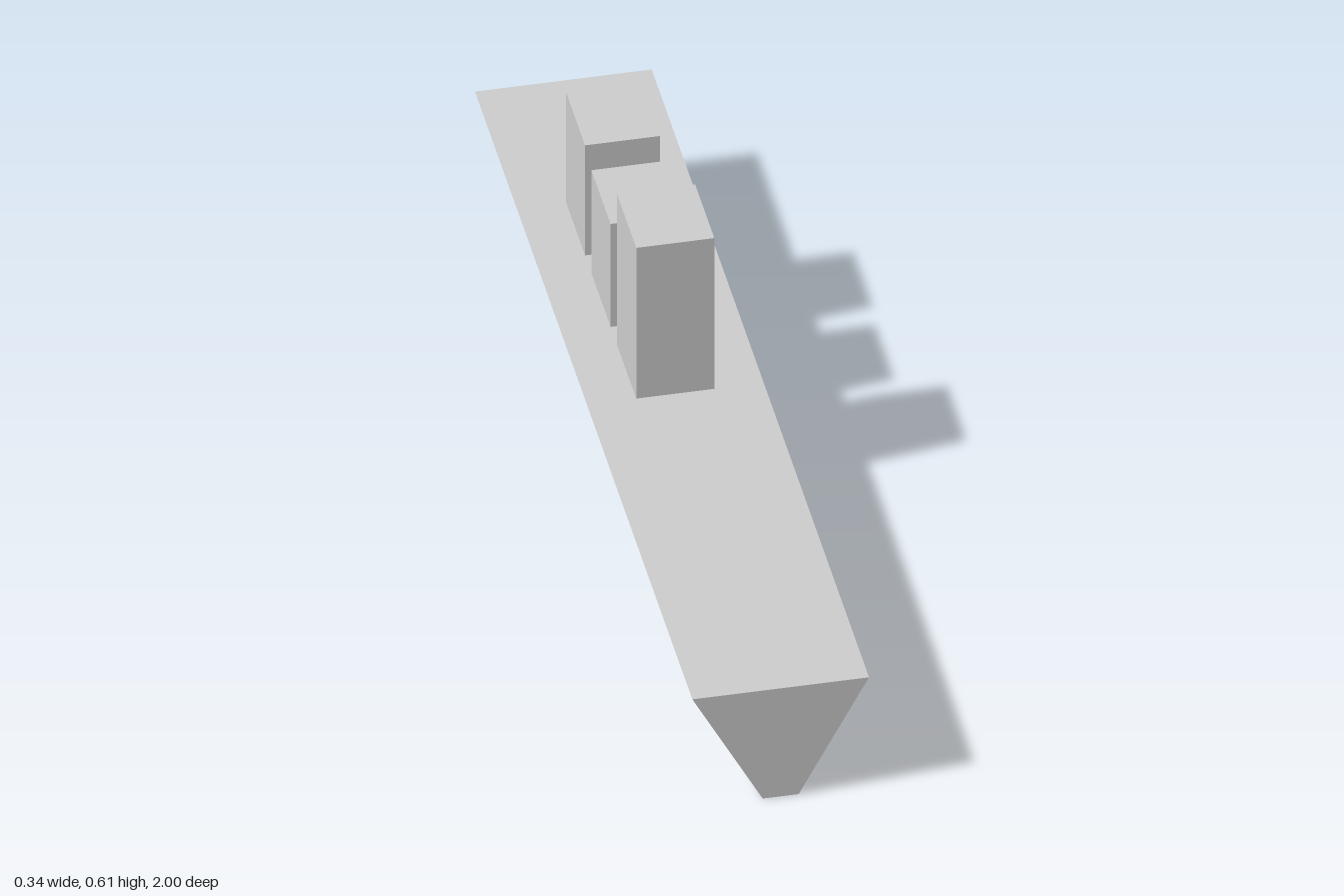
import * as THREE from 'three';

const DECK = 0.255;

export function createModel() {
  const model = new THREE.Group();
  const material = new THREE.MeshStandardMaterial({ color: 0xcccccc, flatShading: true });

  function add(name, geometry) {
    const mesh = new THREE.Mesh(geometry, material);
    mesh.name = name;
    model.add(mesh);
    return mesh;
  }

  // Hull: a tapered section with a narrow keel, run along the full length
  const section = new THREE.Shape([
    new THREE.Vector2(-0.035, 0),
    new THREE.Vector2(0.035, 0),
    new THREE.Vector2(0.172, DECK),
    new THREE.Vector2(-0.172, DECK),
  ]);
  const hull = new THREE.ExtrudeGeometry(section, { depth: 2, bevelEnabled: false });
  hull.translate(0, 0, -1);
  add('hull', hull);

  // Deck blocks, from front to back
  const blocks = [
    { name: 'frontDeckBlock', x: 0, z: -0.058, width: 0.152, top: 0.611 },
    { name: 'middleDeckBlock', x: 0, z: -0.294, width: 0.152, top: 0.498 },
    { name: 'rearDeckBlock', x: -0.003, z: -0.529, width: 0.146, top: 0.515 },
  ];
  for (const { name, x, z, width, top } of blocks) {
    const block = add(name, new THREE.BoxGeometry(width, top - DECK, 0.177));
    block.position.set(x, (top + DECK) / 2, z);
  }

  return model;
}
